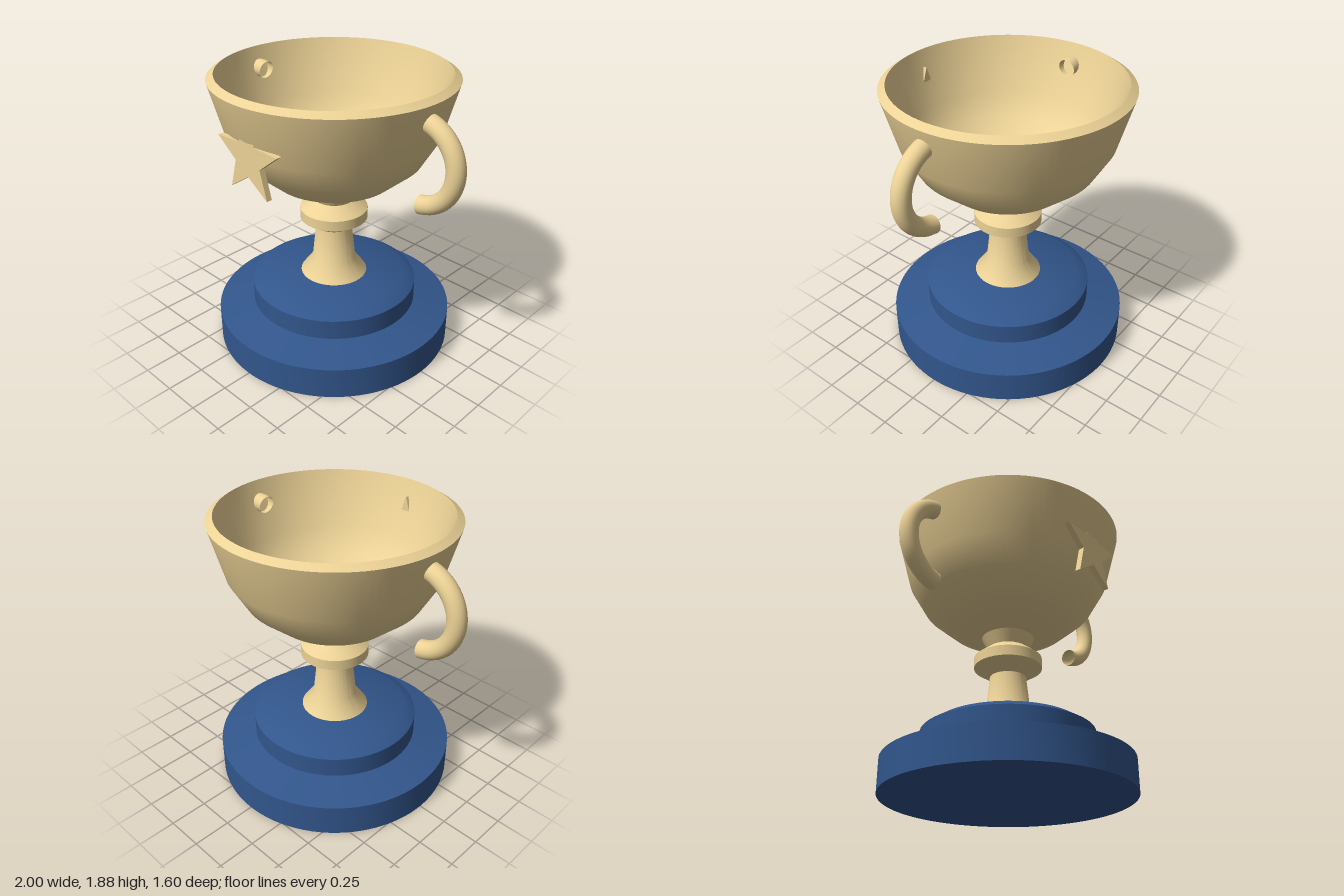
import * as THREE from 'three';
import { toCreasedNormals } from 'three/addons/utils/BufferGeometryUtils.js';

const gold = new THREE.MeshStandardMaterial({ color: 0xecd296 });
const goldOpen = new THREE.MeshStandardMaterial({ color: 0xecd296, side: THREE.DoubleSide });
const blue = new THREE.MeshStandardMaterial({ color: 0x32568c });

function addMesh(parent, name, geometry, material) {
  const mesh = new THREE.Mesh(geometry, material);
  mesh.name = name;
  parent.add(mesh);
  return mesh;
}

// Turned part from [radius, height] pairs, with sharp profile corners kept
function turned(profile) {
  const points = profile.map(([r, y]) => new THREE.Vector2(r, y));
  return toCreasedNormals(new THREE.LatheGeometry(points, 96), 0.6);
}

function starShape(outer, inner) {
  const points = [];
  for (let i = 0; i < 10; i++) {
    const r = i % 2 ? inner : outer;
    const a = Math.PI / 2 + (i * Math.PI) / 5;
    points.push(new THREE.Vector2(r * Math.cos(a), r * Math.sin(a)));
  }
  return new THREE.Shape(points);
}

export function createModel() {
  const trophy = new THREE.Group();
  trophy.name = 'trophy';

  // Stepped plinth
  addMesh(trophy, 'base', turned([
    [0, 0], [0.8, 0], [0.8, 0.215], [0.56, 0.27], [0.56, 0.405], [0.48, 0.455], [0, 0.455],
  ]), blue);

  // Stem with its collar
  addMesh(trophy, 'stem', turned([
    [0.225, 0.455], [0.145, 0.565], [0.12, 0.805], [0.225, 0.872],
    [0.225, 0.942], [0.135, 1.01], [0.175, 1.09],
  ]), gold);

  // Hollow bowl: outside, rim, then inside
  addMesh(trophy, 'bowl', turned([
    [0.175, 1.09], [0.4, 1.17], [0.575, 1.32], [0.68, 1.5], [0.775, 1.85],
    [0.728, 1.88], [0.625, 1.51], [0.53, 1.36], [0.37, 1.23], [0.16, 1.16], [0, 1.15],
  ]), gold);

  // Open tube handles, one on each side
  const start = THREE.MathUtils.degToRad(-83);
  const sweep = THREE.MathUtils.degToRad(183);
  for (const side of [1, -1]) {
    const tube = new THREE.TorusGeometry(0.264, 0.059, 24, 48, sweep);
    tube.rotateZ(start);
    tube.translate(0.677, 1.475, 0);
    if (side < 0) tube.rotateY(Math.PI);
    addMesh(trophy, side > 0 ? 'leftHandle' : 'rightHandle', tube, goldOpen);
  }

  // Star plate, its top point sunk into the bowl
  const star = addMesh(trophy, 'star', new THREE.ExtrudeGeometry(starShape(0.268, 0.111), {
    depth: 0.037, bevelEnabled: false,
  }), gold);
  star.position.set(0, 1.507, 0.672);

  return trophy;
}
